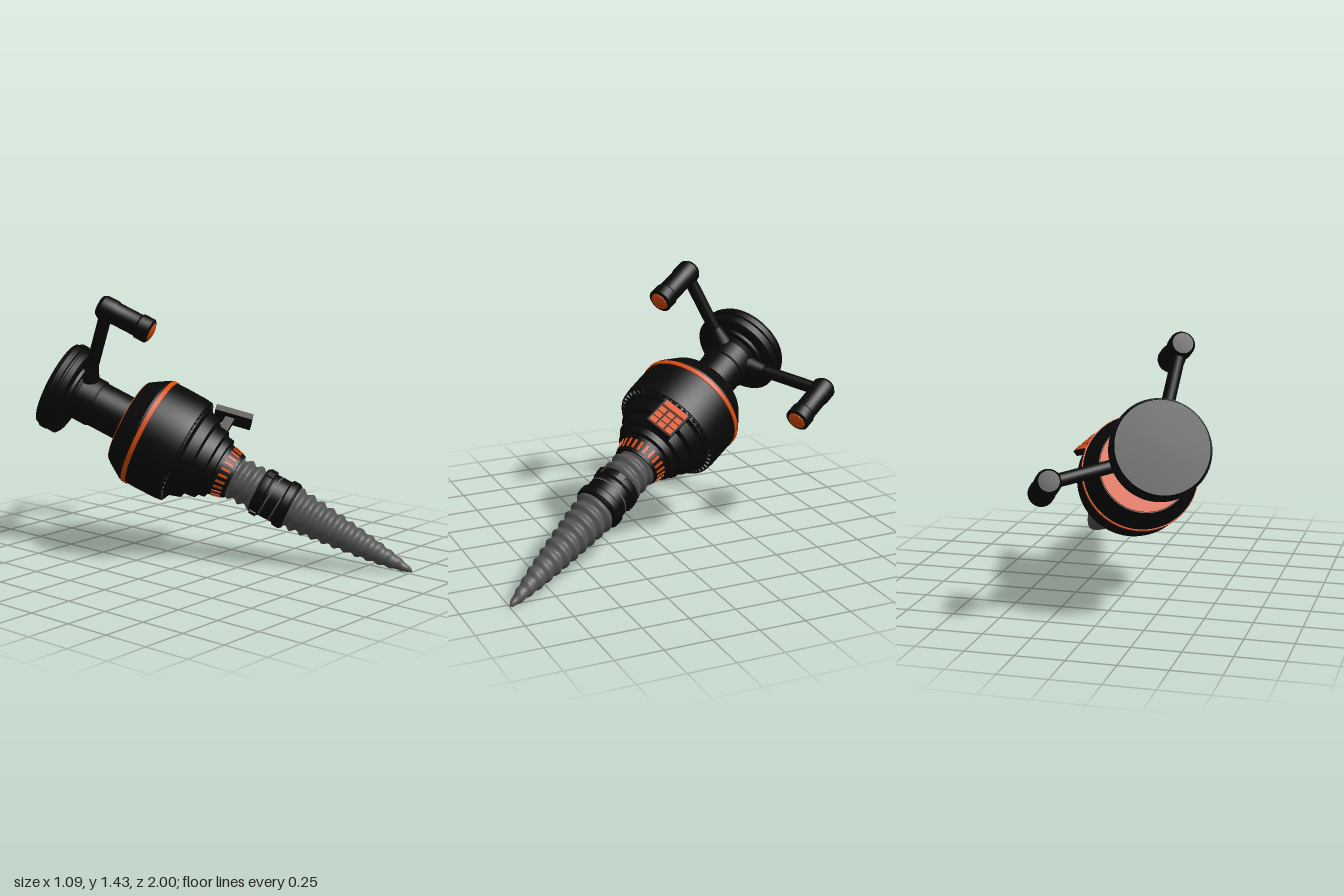
import * as THREE from 'three';
import { toCreasedNormals } from 'three/addons/utils/BufferGeometryUtils.js';

const black = new THREE.MeshStandardMaterial({ color: 0x080808 });
black.name = 'black casing';
const orange = new THREE.MeshStandardMaterial({ color: 0xd94c08 });
orange.name = 'orange accent';
const steel = new THREE.MeshStandardMaterial({ color: 0x545454 });
steel.name = 'grey steel';

function mesh(name, geometry, material, parent) {
  const m = new THREE.Mesh(geometry, material);
  m.name = name;
  parent.add(m);
  return m;
}

// Turned part from [radius, distance from the tip] pairs, front to back
function turned(name, profile, material, parent, sides = 64) {
  const points = profile.map(([r, s]) => new THREE.Vector2(r, s));
  return mesh(name, toCreasedNormals(new THREE.LatheGeometry(points, sides), 0.5), material, parent);
}

// Group whose +x points outward at the given angle around the drill axis
function spoke(name, angle, parent) {
  const g = new THREE.Group();
  g.name = name;
  g.rotation.y = -angle;
  parent.add(g);
  return g;
}

function box(name, size, pos, material, parent) {
  const m = mesh(name, new THREE.BoxGeometry(...size), material, parent);
  m.position.set(...pos);
  return m;
}

// Tapered screw with a rounded helical thread
function screwGeometry() {
  const length = 1.09, pitch = 0.062;
  const geo = new THREE.CylinderGeometry(1, 1, length, 40, 180, true);
  const p = geo.attributes.position;
  for (let i = 0; i < p.count; i++) {
    const s = Math.max(p.getY(i) + length / 2, 0);
    const a = Math.atan2(p.getZ(i), p.getX(i));
    const base = 0.002 + 0.11 * Math.pow(Math.min(s / 0.72, 1), 0.6);
    const wave = Math.sin((s / pitch) * Math.PI * 2 - a);
    const r = base * (1 + 0.085 * wave);
    p.setXYZ(i, r * Math.cos(a), s, r * Math.sin(a));
  }
  geo.computeVertexNormals();
  return geo;
}

// Side arm with a grip that runs parallel to the drill
function addArm(name, angle, parent) {
  const arm = spoke(name, angle, parent);
  const path = new THREE.LineCurve3(new THREE.Vector3(0.1, 1.995, 0), new THREE.Vector3(0.562, 2.03, 0));
  mesh('armRod', new THREE.TubeGeometry(path, 1, 0.034, 20), black, arm);
  const root = mesh('armRoot', new THREE.CylinderGeometry(0.036, 0.06, 0.1, 24), black, arm);
  root.position.set(0.16, 2.0, 0);
  root.rotation.z = -Math.PI / 2 + 0.08;
  const grip = new THREE.Group();
  grip.name = 'grip';
  grip.position.x = 0.562;
  arm.add(grip);
  turned('gripBody', [[0.048, 1.774], [0.054, 1.765], [0.067, 1.775], [0.067, 1.835], [0.06, 1.845],
    [0.06, 1.97], [0.065, 1.99], [0.065, 2.055], [0.052, 2.075], [0, 2.078]], black, grip, 32);
  turned('gripCap', [[0, 1.755], [0.035, 1.758], [0.048, 1.766], [0.05, 1.775]], orange, grip, 32);
}

export function createModel() {
  const model = new THREE.Group();
  model.name = 'drill';

  // Local +y runs from the tip to the back, local +x points to the keypad
  const tool = new THREE.Group();
  tool.name = 'tool';
  const back = new THREE.Vector3(-0.404, 0.428, -0.808).normalize();
  const out = new THREE.Vector3(0.686, 0.727, 0.038);
  out.addScaledVector(back, -out.dot(back)).normalize();
  const side = new THREE.Vector3().crossVectors(out, back);
  tool.quaternion.setFromRotationMatrix(new THREE.Matrix4().makeBasis(out, back, side));
  tool.position.set(0.53, 0.01, 1.0);
  model.add(tool);

  // Screw and collar
  mesh('screw', screwGeometry(), steel, tool);
  turned('collar', [[0.1, 0.715], [0.122, 0.715], [0.132, 0.73], [0.132, 0.765], [0.12, 0.775],
    [0.12, 0.855], [0.129, 0.868], [0.129, 0.898], [0.12, 0.915], [0.1, 0.915]], black, tool);
  for (let i = 0; i < 6; i++) {
    const lug = spoke('collarLug', (i * Math.PI) / 3, tool);
    box('lug', [0.03, 0.04, 0.04], [0.12, 0.883, 0], black, lug);
  }

  // Motor housing with a grooved front and chamfered back
  turned('housing', [[0.1, 1.06], [0.126, 1.06], [0.148, 1.15], [0.17, 1.155], [0.175, 1.19],
    [0.197, 1.2], [0.205, 1.26], [0.232, 1.27], [0.25, 1.325], [0.268, 1.34], [0.268, 1.4],
    [0.288, 1.4], [0.288, 1.35], [0.294, 1.352], [0.299, 1.39], [0.301, 1.5], [0.299, 1.6],
    [0.25, 1.68], [0.236, 1.7], [0.11, 1.7]], black, tool, 96);
  turned('housingStripe', [[0.298, 1.561], [0.305, 1.562], [0.305, 1.586], [0.298, 1.587]], orange, tool, 96);
  turned('grooveBand', [[0.27, 1.365], [0.27, 1.398]], orange, tool, 96);
  turned('rearRing', [[0.232, 1.699], [0.23, 1.705], [0.145, 1.705]], orange, tool, 96);

  // Cooling ribs in the groove
  for (let i = 0; i < 48; i++) {
    const rib = spoke('coolingRib', (i * Math.PI) / 24, tool);
    box('rib', [0.034, 0.055, 0.021], [0.27, 1.374, 0], black, rib);
  }

  // Slots around the nose
  for (let i = 0; i < 24; i++) {
    const slot = spoke('noseSlot', (i * Math.PI) / 12, tool);
    box('slot', [0.008, 0.052, 0.014], [0.136, 1.103, 0], orange, slot).rotation.z = -0.24;
  }

  // Neck and rear plate
  turned('neck', [[0.125, 1.69], [0.125, 1.9], [0.132, 1.91], [0.132, 2.0], [0.16, 2.04]], black, tool);
  turned('rearPlate', [[0.1, 2.02], [0.18, 2.02], [0.185, 2.035], [0.235, 2.035], [0.247, 2.045],
    [0.247, 2.075], [0.24, 2.08], [0.24, 2.09], [0.25, 2.095], [0.25, 2.125], [0.242, 2.13],
    [0.235, 2.15], [0, 2.155]], black, tool, 96);

  // Two side arms
  addArm('upperArm', THREE.MathUtils.degToRad(54), tool);
  addArm('lowerArm', THREE.MathUtils.degToRad(-66), tool);

  // Keypad on a short stem, leaning back
  const keypad = spoke('keypad', 0, tool);
  box('keypadStem', [0.13, 0.05, 0.05], [0.235, 1.24, 0], black, keypad);
  const panel = new THREE.Group();
  panel.name = 'keypadPanel';
  panel.position.set(0.3, 1.228, 0);
  panel.rotation.z = 0.22;
  keypad.add(panel);
  box('keypadPlate', [0.032, 0.205, 0.156], [0, 0, 0], black, panel);
  box('keypadBar', [0.006, 0.04, 0.138], [0.018, 0.074, 0], orange, panel);
  for (let row = 0; row < 3; row++) {
    for (let col = -1; col <= 1; col++) {
      box('key', [0.006, 0.037, 0.039], [0.018, -0.075 + row * 0.046, col * 0.049], orange, panel);
    }
  }
  return model;
}
